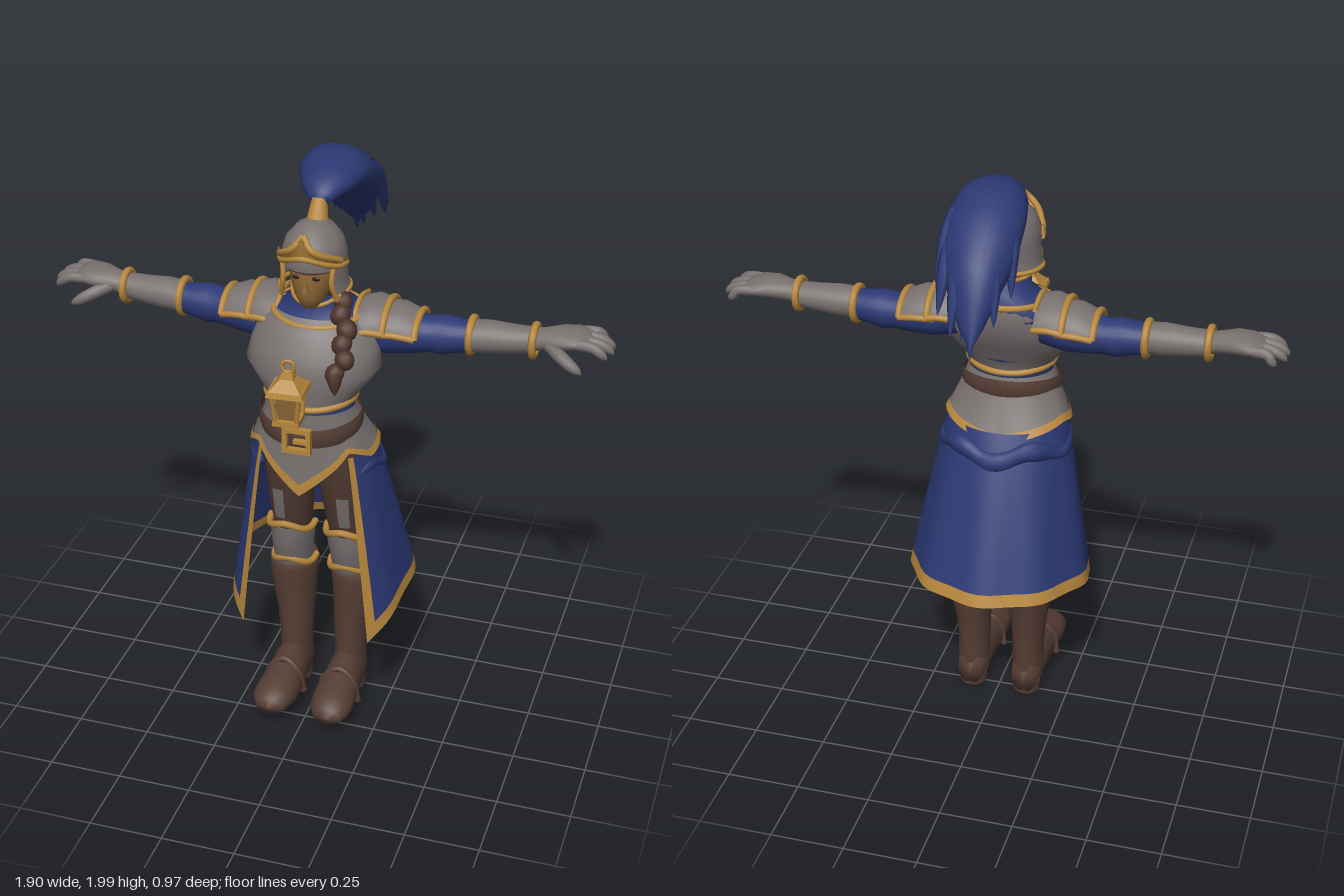
import * as THREE from 'three';

const mat = (name, color) => Object.assign(new THREE.MeshStandardMaterial({ color, side: THREE.DoubleSide }), { name });
const STEEL = mat('steel', 0x77706f), GOLD = mat('gold', 0xb5863c), BLUE = mat('blueCloth', 0x2b3873),
  LEATHER = mat('brownLeather', 0x543d34), HAIR = mat('hair', 0x4c3229), SKIN = mat('skin', 0x8c6534), DARK = mat('dark', 0x2a211c);
const TAU = Math.PI * 2, { sin, cos, PI, abs, max } = Math;
const V = p => new THREE.Vector3(...p);

function add(parent, name, geo, material) {
  const m = new THREE.Mesh(geo, material);
  m.name = name;
  parent.add(m);
  return m;
}
// Grid surface from fn(u, v); u goes round, v goes along
function surf(fn, u0, u1, nu, v0, v1, nv, closed = false) {
  const pos = [], idx = [], cols = closed ? nu : nu + 1;
  for (let j = 0; j <= nv; j++) for (let i = 0; i < cols; i++)
    pos.push(...fn(u0 + (u1 - u0) * i / nu, v0 + (v1 - v0) * j / nv));
  for (let j = 0; j < nv; j++) for (let i = 0; i < nu; i++) {
    const a = j * cols + i, b = j * cols + (i + 1) % cols;
    idx.push(a, b, a + cols, b, b + cols, a + cols);
  }
  const g = new THREE.BufferGeometry();
  g.setAttribute('position', new THREE.Float32BufferAttribute(pos, 3));
  g.setIndex(idx);
  g.computeVertexNormals();
  return g;
}
// Elliptical sections [t, c1, c2, r1, r2] along an axis (z sections run from front to back)
function loft(axis, st, a0 = 0, a1 = TAU, n = 24) {
  return surf((a, v) => {
    const [t, c1, c2, r1, r2] = st[Math.round(v)];
    if (axis === 'y') return [c1 + r1 * sin(a), t, c2 + r2 * cos(a)];
    if (axis === 'x') return [t, c1 + r1 * cos(a), c2 + r2 * sin(a)];
    return [c1 + r1 * sin(a), c2 + r2 * cos(a), t];
  }, a0, a1, n, 0, st.length - 1, st.length - 1, a1 - a0 > 6.28);
}
// Round cord along a curve, radius given by a function of 0..1
function cord(pts, r, n = 16, m = 8) {
  const c = new THREE.CatmullRomCurve3(pts.map(V)), f = c.computeFrenetFrames(n, false);
  const rad = typeof r === 'function' ? r : () => r;
  return surf((a, v) => {
    const i = Math.round(v), q = rad(i / n);
    return c.getPointAt(i / n).addScaledVector(f.normals[i], q * cos(a)).addScaledVector(f.binormals[i], q * sin(a)).toArray();
  }, 0, TAU, m, 0, n, n, true);
}
const taper = r => t => r * Math.sqrt(max(0, 1 - t ** 4));
const arc = (y, rx, rz, zc, a0, a1, n = 14) =>
  Array.from({ length: n + 1 }, (_, i) => a0 + (a1 - a0) * i / n).map(a => [rx * sin(a), typeof y === 'function' ? y(a) : y, zc + rz * cos(a)]);
function keyed(keys, x) {
  const i = max(1, keys.findIndex(k => k[0] >= x)), [a, b] = [keys[i - 1], keys[i]];
  return a[1] + (b[1] - a[1]) * (x - a[0]) / (b[0] - a[0]);
}

function buildTorso(g) {
  add(g, 'undershirt', loft('y', [[1.2, 0, .16, .142, .118], [1.28, 0, .15, .145, .115], [1.42, 0, .1, .18, .13], [1.48, 0, .07, .2, .12],
    [1.53, 0, .06, .15, .11], [1.565, 0, .065, .09, .09], [1.62, 0, .08, .08, .085]]), BLUE);
  add(g, 'breastplate', loft('y', [[1.255, 0, .16, .145, .122], [1.3, 0, .155, .175, .128], [1.365, 0, .135, .225, .15], [1.43, 0, .11, .212, .158],
    [1.49, 0, .085, .19, .14], [1.53, 0, .07, .15, .118]], 0, TAU, 32), STEEL);
  add(g, 'breastplateLowerTrim', cord(arc(a => 1.253 + .012 * sin(a) ** 2, .148, .126, .16, 0, TAU, 24), .011, 48), GOLD);
  add(g, 'necklineTrim', cord(arc(a => 1.53 - .025 * max(0, cos(a)), .15, .125, .075, 0, TAU, 24), .011, 48), GOLD);
  add(g, 'collarTrim', cord(arc(a => 1.61 - .04 * max(0, cos(a)), .084, .09, .08, 0, TAU, 20), .007, 40), GOLD);
  // Flared hip armour with a pointed front panel
  const hem = [[0, .94], [.6, 1.05], [.8, 1.1], [1.3, 1.055], [1.9, 1.085], [3.2, 1.03]];
  const hip = o => (a, v) => {
    const k = (1 - v) ** 1.2, y = keyed(hem, abs(a));
    return [(.148 + .067 * k + o) * sin(a), y + (1.235 - y) * v, .16 - .04 * k + (.124 + .056 * k + o) * cos(a)];
  };
  add(g, 'hipArmour', surf(hip(0), -PI, PI, 64, .1, 1, 8), STEEL);
  add(g, 'hipArmourTrim', surf(hip(.004), -PI, PI, 64, 0, .14, 2), GOLD);
  // Belt and buckle
  const belt = (a, v) => [(.168 + .006 * sin(v * PI)) * sin(a), 1.18 - .022 * cos(a) + (v - .5) * .065, .16 + (.147 + .006 * sin(v * PI)) * cos(a)];
  add(g, 'belt', surf(belt, 0, TAU, 32, 0, 1, 4, true), LEATHER);
  for (const s of [-1, 1]) {
    add(g, 'buckleSide', new THREE.BoxGeometry(.016, .09, .02), GOLD).position.set(s * .04, 1.157, .318);
    add(g, 'buckleBar', new THREE.BoxGeometry(.09, .016, .02), GOLD).position.set(0, 1.157 + s * .037, .318);
  }
  add(g, 'buckleTongue', new THREE.BoxGeometry(.05, .012, .02), GOLD).position.set(.015, 1.157, .322);
}

function buildSkirt(g) {
  const M = 2.34;
  const cloth = (s, v) => {
    const f = s * M, k = (1 - v) ** .92, t = abs(s), yb = .53 - .17 * t ** 4, pleat = .006 * k * cos(f * 9);
    return [-(.205 + .11 * k + pleat) * sin(f), yb + (1.07 - yb) * v, .116 - .092 * k - (.172 + .152 * k + pleat) * cos(f)];
  };
  add(g, 'skirt', surf(cloth, -.955, .955, 60, .075, 1, 14), BLUE);
  add(g, 'skirtHem', surf(cloth, -1, 1, 60, 0, .075, 1), GOLD);
  for (const s of [-1, 1]) add(g, 'skirtEdge', surf(cloth, s < 0 ? -1 : .955, s < 0 ? -.955 : 1, 1, .075, 1, 14), GOLD);
  // Bunched cloth under the hip armour
  const fold = arc(a => .995 + .02 * cos(a * 5), .205, .185, .1, .95, TAU - .95, 24);
  add(g, 'clothFold', cord(fold, t => .034 * Math.sqrt(sin(PI * (.04 + .92 * t))) + .004 * sin(t * 40), 48, 10), BLUE);
}

function buildLeg(g) {
  add(g, 'trouserLeg', loft('y', [[.5, .11, .02, .055, .06], [.6, .105, .04, .06, .065], [.68, .1, .055, .064, .07], [.76, .097, .075, .072, .08],
    [.86, .094, .09, .08, .092], [.95, .09, .1, .088, .105], [1.06, .08, .11, .09, .12]]), LEATHER);
  add(g, 'thighPlate', loft('y', [[.75, .1, .075, .075, .085], [.8, .098, .085, .079, .09], [.88, .097, .095, .084, .096]], -.05, .45, 5), STEEL);
  add(g, 'kneePlate', loft('y', [[.53, .105, .025, .07, .085], [.58, .105, .04, .072, .085], [.64, .102, .05, .076, .092], [.7, .1, .055, .078, .09]], -1.6, 1.6, 16), STEEL);
  const band = (name, y, rx, rz, zc) => add(g, name, cord(arc(a => y + .025 * cos(a * 2) * cos(a), rx, rz, zc, -1.6, 1.6).map(p => [p[0] + .102, p[1], p[2]]), .012, 24), GOLD);
  band('kneeTrim', .695, .08, .093, .055);
  band('shinTrim', .54, .074, .09, .025);
  add(g, 'boot', loft('y', [[.05, .1, .02, .055, .065], [.14, .1, .025, .056, .075], [.2, .1, .025, .056, .072], [.3, .103, .02, .064, .076], [.4, .11, .012, .076, .088],
    [.44, .112, .01, .08, .092], [.5, .112, .01, .086, .096], [.525, .112, .012, .08, .09], [.51, .112, .012, .05, .06]]), LEATHER);
  add(g, 'foot', loft('z', [[.35, .105, .08, 0, 0], [.338, .105, .084, .048, .032], [.3, .105, .09, .07, .052], [.24, .102, .09, .075, .065], [.17, .1, .09, .068, .076],
    [.1, .1, .1, .062, .092], [.02, .1, .09, .058, .088], [-.04, .1, .07, .045, .066], [-.055, .1, .06, 0, 0]]), LEATHER);
  add(g, 'bootStrap', cord([[.03, .05, .17], [.05, .135, .175], [.1, .172, .17], [.15, .135, .175], [.17, .05, .17]], .012), LEATHER);
  add(g, 'heel', new THREE.CylinderGeometry(.05, .048, .04, 16), LEATHER).position.set(.1, .02, .005);
}

function buildArm(g) {
  add(g, 'sleeve', loft('x', [[.14, 1.46, .04, .07, .08], [.22, 1.455, .03, .078, .085], [.3, 1.452, .02, .07, .074], [.36, 1.45, .012, .06, .062],
    [.4, 1.452, .01, .066, .066], [.45, 1.455, .01, .056, .058], [.51, 1.46, .01, .05, .052]]), BLUE);
  // Overlapping shoulder plates with rims
  const plates = [[[.13, 1.455, .035, .1, .12], [.18, 1.46, .03, .108, .122], [.225, 1.455, .025, .1, .114]],
    [[.205, 1.45, .025, .098, .108], [.265, 1.452, .02, .096, .108], [.325, 1.445, .02, .078, .095]]];
  for (const st of plates) {
    add(g, 'shoulderPlate', loft('x', st, -1.3, 1.3, 18), STEEL);
    const at = (s, a) => [s[0], s[1] + s[3] * cos(a), s[2] + s[4] * sin(a)];
    const edge = s => Array.from({ length: 11 }, (_, i) => at(s, -1.3 + .26 * i));
    add(g, 'shoulderRim', cord(edge(st[2]), .012, 20), GOLD);
    for (const s of [-1.3, 1.3]) add(g, 'shoulderEdge', cord(st.map(q => at(q, s)), .011, 6), GOLD);
  }
  add(g, 'shoulderInnerRim', cord([[.13, 1.5, .14], [.13, 1.55, .08], [.13, 1.56, .03], [.13, 1.54, -.05]], .009), GOLD);
  add(g, 'bracer', loft('x', [[.49, 1.462, .01, .052, .058], [.55, 1.465, .008, .054, .058], [.62, 1.467, .006, .048, .052], [.7, 1.472, .004, .042, .047]]), STEEL);
  for (const [x, y, r] of [[.492, 1.462, .056], [.695, 1.472, .05]]) {
    const ring = add(g, 'bracerRing', new THREE.TorusGeometry(r, .013, 8, 24), GOLD);
    ring.rotation.y = PI / 2;
    ring.position.set(x, y, .006);
  }
  // Gloved hand
  add(g, 'glove', loft('x', [[.69, 1.474, .004, .036, .042], [.73, 1.482, .003, .036, .046], [.78, 1.492, 0, .036, .065], [.83, 1.495, -.008, .03, .073], [.87, 1.49, -.012, .021, .066], [.885, 1.487, -.012, 0, 0]]), STEEL);
  for (let i = 0; i < 4; i++) {
    const z = -.064 + i * .036, e = .935 + [-.015, .012, .015, 0][i];
    add(g, 'finger', cord([[.84, 1.495, z], [.89, 1.492, z * 1.1], [e - .02, 1.478, z * 1.2], [e, 1.46, z * 1.2]], taper(.0185), 10), STEEL);
  }
  add(g, 'thumb', cord([[.75, 1.475, .035], [.79, 1.46, .07], [.83, 1.44, .09], [.865, 1.42, .098]], taper(.022), 10), STEEL);
}

function buildHead(g) {
  add(g, 'neck', new THREE.CylinderGeometry(.05, .055, .12, 16), SKIN).position.set(0, 1.6, .1);
  add(g, 'face', loft('y', [[1.568, 0, .17, 0, 0], [1.575, 0, .17, .028, .032], [1.61, 0, .148, .055, .066], [1.66, 0, .138, .07, .083], [1.72, 0, .13, .076, .087], [1.79, 0, .12, .06, .07]]), SKIN);
  add(g, 'nose', new THREE.ConeGeometry(.013, .045, 8), SKIN).position.set(0, 1.66, .222);
  add(g, 'hair', loft('y', [[1.6, 0, .1, .07, .07], [1.66, 0, .1, .086, .088], [1.76, 0, .11, .09, .09]], .75, TAU - .75), HAIR);
  add(g, 'fringe', loft('y', [[1.7, 0, .13, .082, .094], [1.76, 0, .12, .086, .1]], -1, 1, 12), HAIR);
  for (const s of [-1, 1]) {
    const eye = add(g, 'eye', new THREE.SphereGeometry(.012, 10, 8), DARK);
    eye.scale.set(1.2, .6, .3);
    eye.position.set(s * .032, 1.685, .213);
    add(g, 'cheekTrim', cord([[s * .085, 1.74, .185], [s * .08, 1.67, .2], [s * .092, 1.605, .18]], .009), GOLD);
  }
  // Helmet: dome, open-faced guard, gold rims
  add(g, 'helmetDome', loft('y', [[1.71, 0, .12, .104, .112], [1.75, 0, .122, .103, .112], [1.79, 0, .12, .09, .098], [1.825, 0, .115, .06, .068], [1.842, 0, .112, .028, .03], [1.846, 0, .11, 0, 0]], 0, TAU, 32), STEEL);
  add(g, 'helmetGuard', loft('y', [[1.625, 0, .115, .114, .106], [1.66, 0, .118, .106, .104], [1.72, 0, .12, .105, .112]], .8, TAU - .8, 28), STEEL);
  add(g, 'helmetLowerRim', cord(arc(a => 1.625 - .02 * max(0, cos(a)), .113, .106, .115, .8, TAU - .8, 20), .008, 36), GOLD);
  const brow = (a, v) => [(.108 + .01 * v) * sin(a), 1.715 + .04 * cos(a) ** 3 + v * (.03 + .055 * max(0, 1 - abs(a) / .35)), .12 + (.118 + .022 * cos(a) ** 2 * v) * cos(a)];
  add(g, 'browPlate', surf(brow, -1.5, 1.5, 40, 0, 1, 3), GOLD);
  add(g, 'browRim', cord(arc(a => 1.72 + .04 * cos(a) ** 3, .108, .121, .12, -1.5, 1.5), .01, 30), GOLD);
  for (const s of [-1, 1]) add(g, 'browRidge', cord([[s * .1, 1.74, .17], [s * .065, 1.775, .235], [s * .03, 1.8, .258], [0, 1.835, .235]], .011), GOLD);
  const holder = add(g, 'plumeHolder', new THREE.CylinderGeometry(.024, .036, .075, 16), GOLD);
  holder.position.set(0, 1.862, .08);
  holder.rotation.x = -.35;
}

function buildPlume(g) {
  add(g, 'plume', loft('z', [[.088, 0, 1.895, 0, 0], [.075, 0, 1.9, .035, .025], [.045, 0, 1.915, .062, .04], [0, 0, 1.922, .085, .05], [-.08, -.005, 1.925, .11, .068],
    [-.16, -.01, 1.905, .122, .088], [-.24, -.012, 1.86, .122, .1], [-.32, -.015, 1.805, .108, .102], [-.39, -.02, 1.74, .078, .09], [-.44, -.03, 1.68, .045, .065], [-.48, -.04, 1.59, 0, 0]]), BLUE);
  // Loose feather tips
  const tips = [[-.04, 1.56, -.485, 0], [.03, 1.62, -.465, .03], [-.1, 1.65, -.43, -.06], [.085, 1.66, -.41, .07], [0, 1.6, -.44, 0], [-.13, 1.71, -.34, -.09], [.11, 1.72, -.34, .08], [-.06, 1.68, -.35, -.04]];
  for (const [x, y, z, b] of tips)
    add(g, 'featherTip', cord([[b, y + .19, z + .15], [(b + x) / 2, y + .14, z + .08], [x, y, z]], t => .036 * (1 - t) ** .7, 10, 6), BLUE);
}

function buildBraid(g) {
  const path = new THREE.CatmullRomCurve3([[.08, 1.63, .13], [.11, 1.57, .18], [.135, 1.5, .24], [.135, 1.43, .285], [.12, 1.39, .31]].map(V));
  for (let i = 0; i < 7; i++) {
    const s = add(g, 'braidKnot', new THREE.SphereGeometry(.034 - .001 * abs(i - 3), 12, 8), HAIR);
    s.position.copy(path.getPointAt(i / 6.5)).x += i % 2 ? .008 : -.008;
    s.rotation.set(-.6, 0, i % 2 ? .5 : -.5);
    s.scale.set(1, 1.1, .85);
  }
  add(g, 'braidTail', cord([[.12, 1.41, .3], [.125, 1.38, .315], [.13, 1.345, .33]], t => .027 * (1 - t * t), 8), HAIR);
}

function buildLantern(g) {
  const box = (name, w0, w1, h, y, m = GOLD) => {
    const b = add(g, name, new THREE.CylinderGeometry(w1 * Math.SQRT1_2, w0 * Math.SQRT1_2, h, 4).toNonIndexed(), m);
    b.geometry.computeVertexNormals();
    b.rotation.y = PI / 4;
    b.position.y = y;
  };
  box('lanternBase', .085, .085, .018, 1.294);
  box('lanternGlass', .052, .072, .1, 1.348, SKIN);
  box('lanternEave', .12, .112, .016, 1.4);
  box('lanternRoof', .105, .045, .035, 1.424);
  box('lanternCap', .045, .035, .018, 1.45);
  for (const x of [-1, 1]) for (const z of [-1, 1])
    add(g, 'lanternPost', cord([[x * .034, 1.295, z * .034], [x * .039, 1.35, z * .039], [x * .046, 1.4, z * .046]], .008, 4, 6), GOLD);
  add(g, 'lanternRing', new THREE.TorusGeometry(.02, .006, 8, 20), GOLD).position.y = 1.478;
  g.rotation.y = .06;
  g.position.set(.008, 0, .422);
}

export function createModel() {
  const root = new THREE.Group();
  root.name = 'knight';
  const part = (name, build, mirror) => {
    const g = new THREE.Group();
    g.name = name;
    build(g);
    if (mirror) g.scale.x = -1;
    root.add(g);
  };
  part('torso', buildTorso);
  part('skirtGroup', buildSkirt);
  part('leftLeg', buildLeg);
  part('rightLeg', buildLeg, true);
  part('leftArm', buildArm);
  part('rightArm', buildArm, true);
  part('head', buildHead);
  part('plumeGroup', buildPlume);
  part('braid', buildBraid);
  part('lantern', buildLantern);
  return root;
}
